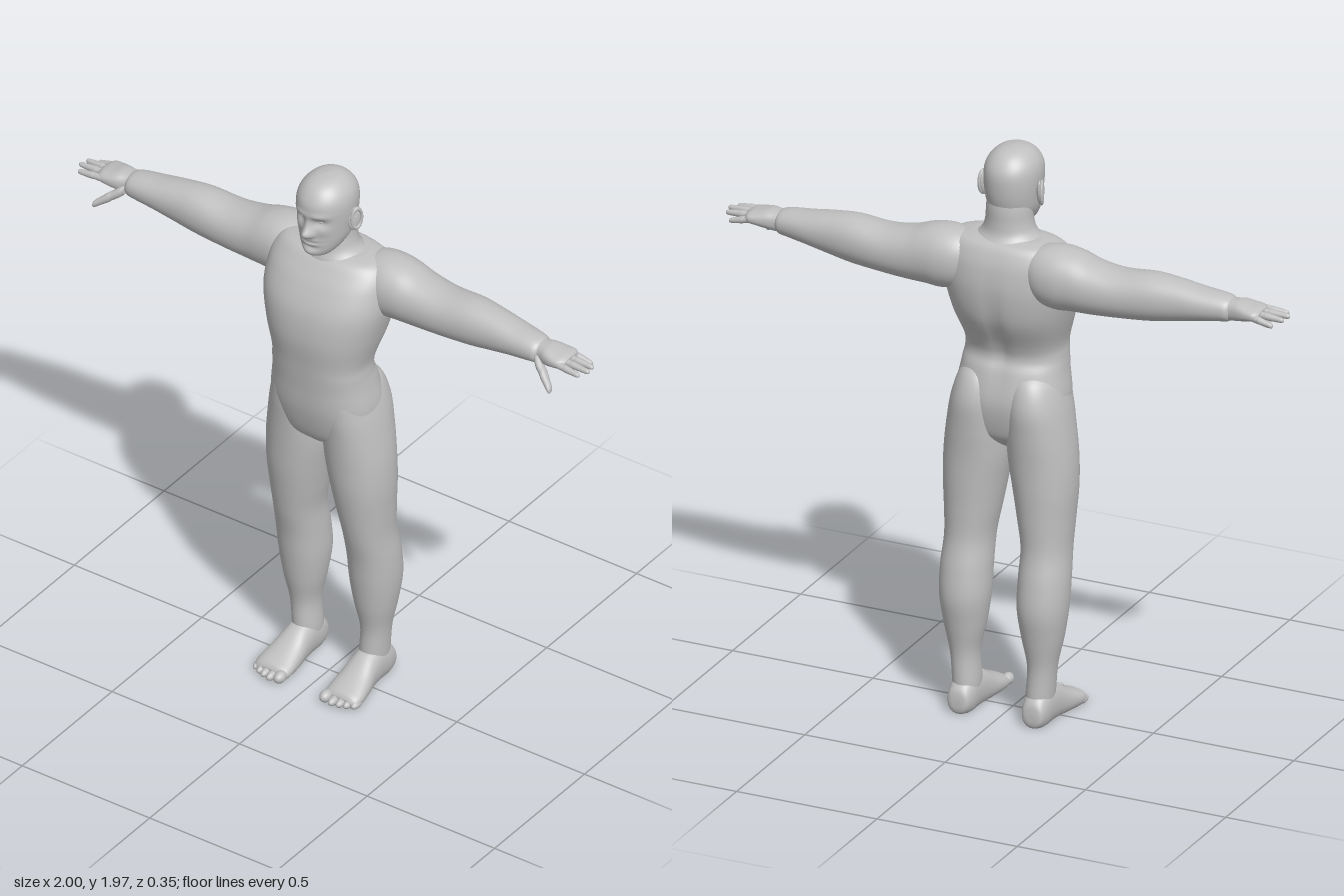
import * as THREE from 'three';

const skin = new THREE.MeshStandardMaterial({ color: 0xc0c0c0 });
skin.name = 'plain grey';

// Smooth spline value through p1..p2
const spline = (p0, p1, p2, p3, s) => {
  const a = (p2 - p0) / 2, b = (p3 - p1) / 2, s2 = s * s, s3 = s2 * s;
  return (2 * p1 - 2 * p2 + a + b) * s3 + (-3 * p1 + 3 * p2 - 2 * a - b) * s2 + a * s + p1;
};

// How (u, along, v) maps to x, y, z for each loft direction
const place = {
  y: (u, t, v) => [u, t, v],
  x: (u, t, v) => [t, v, u],
  z: (u, t, v) => [v, u, t],
};

// Closed smooth loft; rows are [along, uMin, uMax, vMin, vMax]
function loft(axis, rows, { sides = 40, steps = 6, power = 2, warp = null } = {}) {
  const pos = [], idx = [], n = rows.length;
  const row = (i) => rows[Math.max(0, Math.min(n - 1, i))];
  const add = (u, t, v) => {
    const p = place[axis](u, t, v);
    pos.push(...(warp ? warp(...p) : p));
  };
  const bend = (c) => Math.sign(c) * Math.pow(Math.abs(c), 2 / power);
  let rings = 0;
  for (let i = 0; i < n - 1; i++) {
    for (let k = 0; k < (i === n - 2 ? steps + 1 : steps); k++) {
      const [t, u0, u1, v0, v1] = row(i).map((_, c) =>
        spline(row(i - 1)[c], row(i)[c], row(i + 1)[c], row(i + 2)[c], k / steps));
      for (let j = 0; j < sides; j++) {
        const a = (j / sides) * Math.PI * 2;
        add((u0 + u1) / 2 + bend(Math.cos(a)) * (u1 - u0) / 2, t,
          (v0 + v1) / 2 + bend(Math.sin(a)) * (v1 - v0) / 2);
      }
      rings++;
    }
  }
  for (let r = 0; r < rings - 1; r++) {
    for (let j = 0; j < sides; j++) {
      const a = r * sides + j, b = r * sides + (j + 1) % sides;
      idx.push(a, a + sides, b, b, a + sides, b + sides);
    }
  }
  // End caps
  for (const [r, first] of [[row(0), true], [row(n - 1), false]]) {
    const centre = pos.length / 3, base = first ? 0 : (rings - 1) * sides;
    add((r[1] + r[2]) / 2, r[0], (r[3] + r[4]) / 2);
    for (let j = 0; j < sides; j++) {
      const a = base + j, b = base + (j + 1) % sides;
      idx.push(centre, ...(first ? [a, b] : [b, a]));
    }
  }
  const g = new THREE.BufferGeometry();
  g.setAttribute('position', new THREE.Float32BufferAttribute(pos, 3));
  g.setIndex(idx);
  g.computeVertexNormals();
  return g;
}

// Ellipsoid at a point
const blob = (x, y, z, rx, ry, rz) =>
  new THREE.SphereGeometry(1, 20, 14).scale(rx, ry, rz).translate(x, y, z);

// Copy reflected to the other side, with the winding turned round
function mirrored(geometry) {
  const g = geometry.clone().scale(-1, 1, 1);
  const ix = g.index.array;
  for (let i = 0; i < ix.length; i += 3) [ix[i], ix[i + 1]] = [ix[i + 1], ix[i]];
  g.computeVertexNormals();
  return g;
}

// Rows symmetric in x: [y, halfWidth, back, front]
const even = (rows) => rows.map(([y, w, b, f]) => [y, -w, w, b, f]);

// Facial relief: [x, y, spreadX, spreadY, depth]
const relief = [
  [0, 1.792, 0.013, 0.012, 0.024], [0, 1.815, 0.010, 0.020, 0.013],
  [0.014, 1.787, 0.007, 0.008, 0.007],
  [0.035, 1.834, 0.017, 0.011, -0.013], [0.035, 1.860, 0.024, 0.008, 0.006],
  [0, 1.764, 0.020, 0.005, 0.007], [0, 1.748, 0.018, 0.005, 0.007],
  [0, 1.756, 0.024, 0.003, -0.004], [0, 1.734, 0.022, 0.006, -0.005],
  [0, 1.712, 0.020, 0.010, 0.008], [0.05, 1.80, 0.014, 0.012, 0.004],
];
const sculptFace = (x, y, z) => {
  if (z < 0.03) return [x, y, z];
  const fade = Math.min(1, (z - 0.03) / 0.03);
  let dz = 0;
  for (const [cx, cy, sx, sy, d] of relief) {
    dz += d * Math.exp(-(((Math.abs(x) - cx) / sx) ** 2 + ((y - cy) / sy) ** 2) / 2);
  }
  return [x, y, z + dz * fade];
};

// Shallow groove down the spine
const sculptTorso = (x, y, z) =>
  [x, y, z < 0 ? z + 0.012 * Math.exp(-((x / 0.025) ** 2)) * Math.exp(-(((y - 1.35) / 0.17) ** 2)) : z];

export function createModel() {
  const model = new THREE.Group();
  model.name = 'figure';
  const add = (name, g) => {
    const m = new THREE.Mesh(g, skin);
    m.name = name;
    model.add(m);
  };
  const pair = (name, g) => {
    add('left ' + name, g);
    add('right ' + name, mirrored(g));
  };

  // Torso, neck and head
  add('torso', loft('y', even([
    [0.93, 0.02, -0.05, 0.05], [0.96, 0.09, -0.09, 0.085], [1.0, 0.165, -0.115, 0.118],
    [1.1, 0.19, -0.132, 0.145], [1.2, 0.177, -0.113, 0.155], [1.25, 0.171, -0.093, 0.16],
    [1.3, 0.172, -0.105, 0.165], [1.4, 0.2, -0.155, 0.175], [1.5, 0.222, -0.172, 0.163],
    [1.58, 0.222, -0.166, 0.125], [1.63, 0.21, -0.15, 0.088], [1.66, 0.18, -0.13, 0.06],
    [1.672, 0.12, -0.1, 0.03],
  ]), { sides: 64, power: 2.35, warp: sculptTorso }));
  add('neck', loft('y', even([
    [1.62, 0.17, -0.14, 0.07], [1.655, 0.125, -0.125, 0.066], [1.685, 0.092, -0.106, 0.056],
    [1.72, 0.08, -0.1, 0.05], [1.77, 0.076, -0.098, 0.045], [1.82, 0.07, -0.09, 0.04],
  ])));
  add('head', loft('y', even([
    [1.69, 0.025, 0.02, 0.085], [1.7, 0.046, -0.01, 0.105], [1.725, 0.066, -0.05, 0.114],
    [1.76, 0.081, -0.085, 0.115], [1.8, 0.088, -0.1, 0.117], [1.85, 0.093, -0.106, 0.121],
    [1.89, 0.092, -0.104, 0.121], [1.92, 0.083, -0.091, 0.108], [1.945, 0.063, -0.068, 0.085],
    [1.96, 0.037, -0.038, 0.052], [1.966, 0.003, 0.004, 0.01],
  ]), { sides: 96, steps: 8, power: 2.1, warp: sculptFace }));
  pair('eye', blob(0.034, 1.834, 0.091, 0.013, 0.008, 0.011));
  pair('ear', blob(0, 0, 0, 0.011, 0.043, 0.024).rotateY(-0.35).rotateX(-0.12).translate(0.097, 1.817, -0.002));
  pair('ear rim', new THREE.TorusGeometry(0.025, 0.006, 8, 24).scale(0.8, 1.45, 1)
    .rotateY(Math.PI / 2 - 0.35).translate(0.104, 1.82, -0.004));

  // Arms: rows are [x, back, front, bottom, top]
  pair('arm', loft('x', [
    [0.08, -0.12, -0.02, 1.54, 1.64], [0.14, -0.155, 0.02, 1.48, 1.668], [0.2, -0.166, 0.036, 1.463, 1.676],
    [0.26, -0.163, 0.035, 1.466, 1.668], [0.33, -0.157, 0.028, 1.468, 1.646], [0.42, -0.149, 0.024, 1.473, 1.634],
    [0.53, -0.138, 0.02, 1.481, 1.642], [0.62, -0.125, 0.014, 1.495, 1.634], [0.7, -0.115, 0.011, 1.51, 1.621],
    [0.77, -0.103, 0.008, 1.52, 1.612], [0.8, -0.095, 0.002, 1.525, 1.604], [0.815, -0.075, -0.02, 1.54, 1.59],
  ], { power: 2.15 }));
  pair('palm', loft('x', [
    [0.77, -0.085, -0.01, 1.53, 1.6], [0.81, -0.088, -0.006, 1.53, 1.601], [0.84, -0.094, 0.004, 1.534, 1.602],
    [0.87, -0.099, 0.009, 1.541, 1.596], [0.9, -0.1, 0.007, 1.548, 1.59], [0.915, -0.085, -0.01, 1.556, 1.582],
  ], { power: 2.4 }));
  // Fingers: [z at knuckle, z at tip, y at tip, tip x]
  const fingers = [[-0.004, 0.003, 1.563, 0.982], [-0.031, -0.028, 1.566, 1.0],
    [-0.058, -0.06, 1.563, 0.994], [-0.084, -0.09, 1.55, 0.968]];
  const finger = (x0, y0, z0, x1, y1, z1, r) => loft('x',
    [[0, 0.8], [0.15, 1], [0.4, 0.92], [0.5, 0.98], [0.75, 0.82], [0.93, 0.68], [0.985, 0.4], [1, 0.05]]
      .map(([s, k]) => {
        const x = x0 + (x1 - x0) * s, y = y0 + (y1 - y0) * s, z = z0 + (z1 - z0) * s;
        return [x, z - r * k, z + r * k, y - r * k, y + r * k];
      }), { sides: 16, steps: 4 });
  fingers.forEach(([z0, z1, y, x], i) =>
    pair('finger ' + (i + 1), finger(0.875, 1.57, z0, x, y, z1, 0.0125)));
  pair('thumb', finger(0.805, 1.555, -0.012, 0.897, 1.49, 0.042, 0.02));

  // Legs: rows are [y, inner, outer, back, front]
  pair('leg', loft('y', [
    [0.04, 0.09, 0.17, -0.125, -0.02], [0.1, 0.086, 0.176, -0.126, -0.008], [0.2, 0.09, 0.185, -0.125, -0.008],
    [0.3, 0.07, 0.206, -0.142, 0.012], [0.4, 0.056, 0.22, -0.157, 0.028], [0.5, 0.055, 0.222, -0.147, 0.042],
    [0.6, 0.055, 0.217, -0.128, 0.065], [0.7, 0.038, 0.222, -0.127, 0.084], [0.8, 0.02, 0.228, -0.13, 0.1],
    [0.9, 0.003, 0.226, -0.133, 0.109], [1.0, -0.001, 0.214, -0.14, 0.118], [1.1, 0.004, 0.195, -0.143, 0.128],
    [1.18, 0.02, 0.168, -0.115, 0.125], [1.22, 0.06, 0.12, -0.06, 0.07],
  ], { sides: 48, power: 2.1 }));

  // Feet: rows are [z, bottom, top, inner, outer], with a flat sole
  const flatSole = (x, y, z) => [x, Math.max(0, y), z];
  pair('foot', loft('z', [
    [-0.143, 0.02, 0.05, 0.115, 0.15], [-0.135, 0, 0.085, 0.097, 0.168], [-0.1, -0.015, 0.12, 0.087, 0.177],
    [-0.05, -0.015, 0.13, 0.084, 0.18], [0, -0.015, 0.113, 0.08, 0.185], [0.05, -0.015, 0.082, 0.074, 0.196],
    [0.1, -0.012, 0.058, 0.071, 0.204], [0.13, -0.01, 0.045, 0.075, 0.2], [0.142, 0.005, 0.03, 0.09, 0.185],
  ], { power: 2.2, warp: flatSole }));
  const toes = [[0.09, 0.146, 0.019], [0.121, 0.147, 0.014], [0.147, 0.141, 0.0135], [0.17, 0.132, 0.013], [0.192, 0.12, 0.013]];
  toes.forEach(([x, z, r], i) => pair('toe ' + (i + 1), blob(x, r * 1.05, z, r, r * 1.05, 0.027)));

  return model;
}
